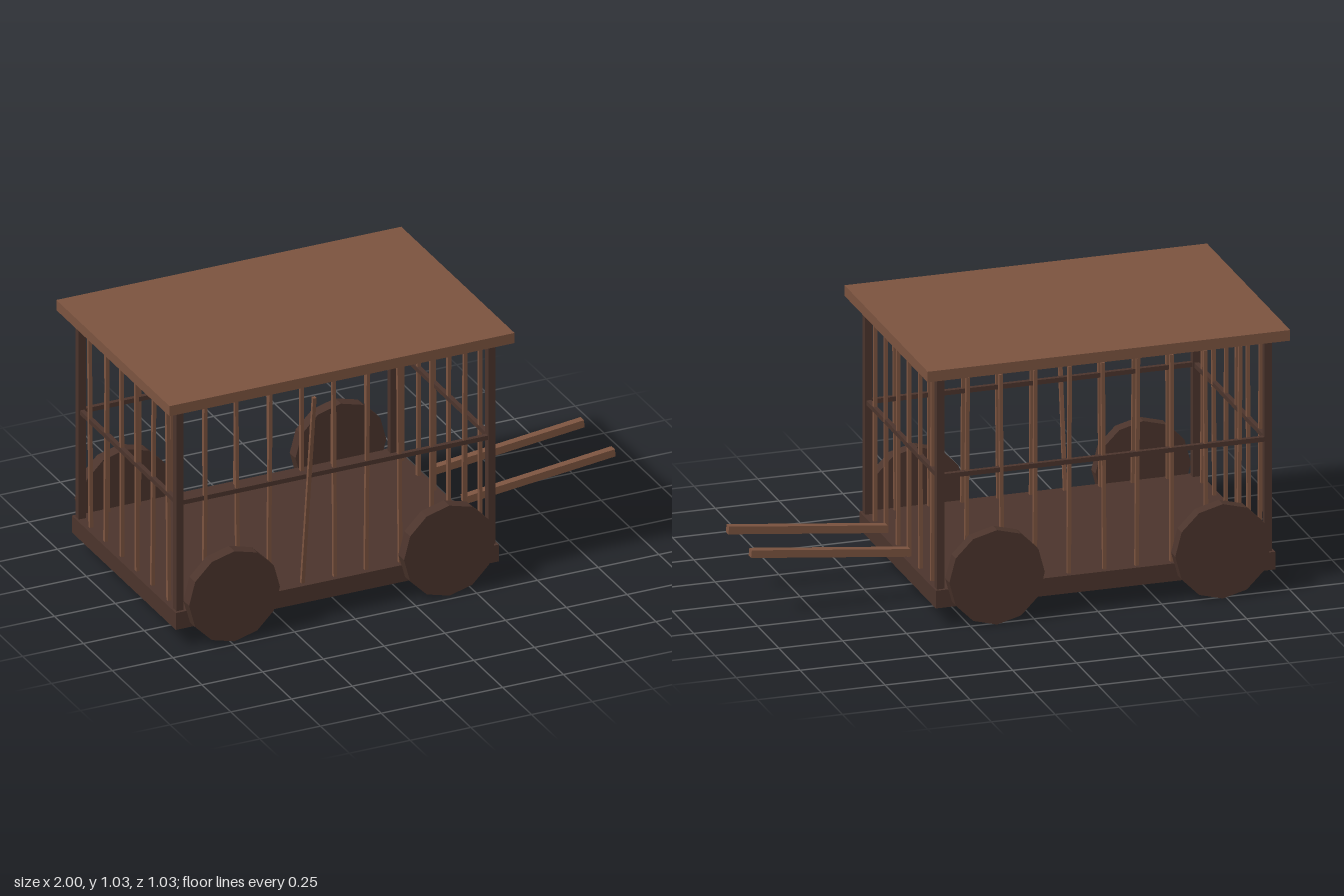
import * as THREE from 'three';

export function createModel() {
  const model = new THREE.Group();
  model.name = 'cageWagon';
  const cart = new THREE.Group();
  cart.name = 'wagon';
  cart.position.z = -0.02;
  model.add(cart);

  const lightWood = new THREE.MeshStandardMaterial({ color: 0x7b533f });
  lightWood.name = 'light wood';
  const darkWood = new THREE.MeshStandardMaterial({ color: 0x4b342c });
  darkWood.name = 'dark wood';

  const box = (name, material, size, pos) => {
    const mesh = new THREE.Mesh(new THREE.BoxGeometry(...size), material);
    mesh.name = name;
    mesh.position.set(...pos);
    cart.add(mesh);
    return mesh;
  };

  // Square stick running from one point to another
  const up = new THREE.Vector3(0, 1, 0);
  const stick = (name, material, thick, from, to) => {
    const a = new THREE.Vector3(...from), b = new THREE.Vector3(...to);
    const dir = b.clone().sub(a);
    const mesh = box(name, material, [thick, dir.length(), thick], a.clone().add(b).multiplyScalar(0.5).toArray());
    mesh.quaternion.setFromUnitVectors(up, dir.normalize());
  };

  const midX = -0.29, halfX = 0.642, halfZ = 0.423;
  const deckTop = 0.145, barTop = 0.965, roofBottom = 0.99;

  // Deck and roof
  box('deck', darkWood, [1.33, 0.07, 0.9], [midX, 0.11, 0]);
  box('roof', lightWood, [1.42, 0.042, 0.98], [midX, 1.011, 0]);

  // Corner posts
  for (const sx of [-1, 1]) for (const sz of [-1, 1]) {
    box('cornerPost', darkWood, [0.029, roofBottom - deckTop, 0.029],
      [midX + sx * halfX, (deckTop + roofBottom) / 2, sz * halfZ]);
  }

  // Middle rails around the cage
  for (const s of [-1, 1]) {
    box('sideRail', darkWood, [halfX * 2, 0.018, 0.018], [midX, 0.588, s * halfZ]);
    box('endRail', darkWood, [0.018, 0.018, halfZ * 2], [midX + s * halfX, 0.588, 0]);
  }

  // Slightly crooked bars, one of them bent outward on the front side
  const wobble = (i) => 0.004 * Math.sin(i * 2.3 + 0.7);
  for (const s of [-1, 1]) {
    for (let i = 0; i < 9; i++) {
      const x = midX + (i - 4) * 0.1335;
      const loose = s === 1 && i === 3;
      const topZ = loose ? 0.533 : s * halfZ + wobble(i + 3);
      stick(loose ? 'looseBar' : 'sideBar', lightWood, 0.014,
        [x - wobble(i + s), deckTop, s * halfZ], [x + wobble(i + s), barTop, topZ]);
    }
    for (let i = 0; i < 6; i++) {
      const z = (2.5 - i) * 0.1345, x = midX + s * halfX;
      stick('endBar', lightWood, 0.014,
        [x, deckTop, z - wobble(i + s)], [x + wobble(i + 5), barTop, z + wobble(i + s)]);
    }
  }

  // Solid twelve-sided wheels
  const wheelGeometry = new THREE.CylinderGeometry(0.187, 0.187, 0.05, 12).rotateX(Math.PI / 2).toNonIndexed();
  wheelGeometry.computeVertexNormals();
  for (const x of [-0.735, 0.15]) for (const s of [-1, 1]) {
    const wheel = new THREE.Mesh(wheelGeometry, darkWood);
    wheel.name = 'wheel';
    wheel.position.set(x, 0.188, s * 0.47);
    cart.add(wheel);
  }

  // Pulling shafts
  for (const s of [-1, 1]) {
    stick('shaft', lightWood, 0.03, [0.376, 0.19, s * 0.134], [0.997, 0.257, s * 0.134]);
  }

  return model;
}
